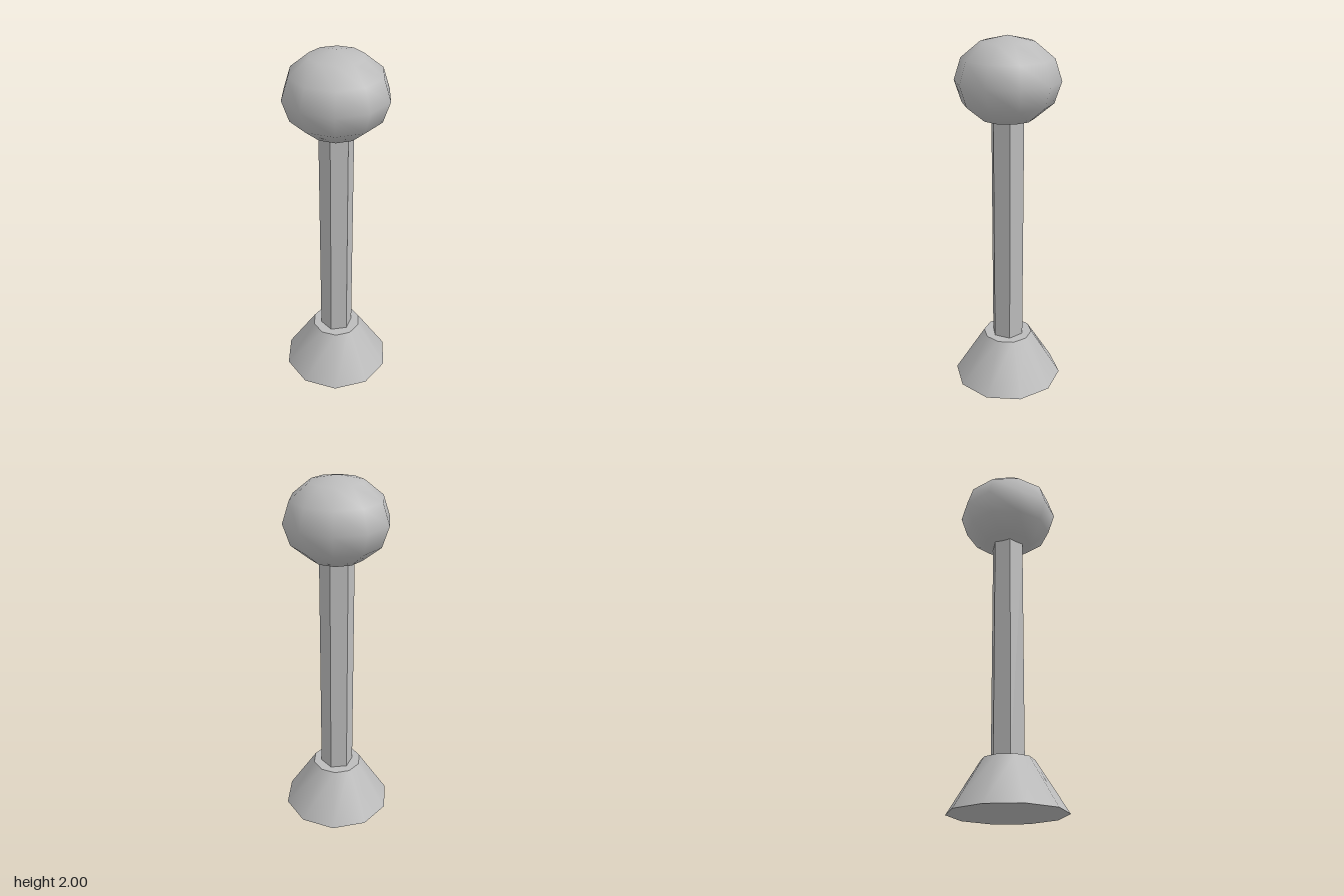
import * as THREE from 'three';

export function createModel() {
  const model = new THREE.Group();
  const grey = new THREE.MeshStandardMaterial({ color: 0xbcbcbc });
  grey.name = 'grey';

  function add(name, geometry, y) {
    const mesh = new THREE.Mesh(geometry, grey);
    mesh.name = name;
    mesh.position.y = y;
    model.add(mesh);
    return mesh;
  }

  // Ten-sided tapered foot with a corner on the x axis
  const footHeight = 0.275;
  add('foot', new THREE.CylinderGeometry(0.141, 0.314, footHeight, 10, 1, false, Math.PI / 2), footHeight / 2);

  // Six-sided post with crisp edges, running from the foot into the knob
  const postTop = 1.57;
  const post = new THREE.CylinderGeometry(0.094, 0.094, postTop - footHeight, 6).toNonIndexed();
  post.computeVertexNormals();
  add('post', post, (postTop + footHeight) / 2);

  // Slightly flattened smooth knob
  const knob = add('knob', new THREE.SphereGeometry(0.282, 10, 6), 1.77);
  knob.scale.y = 0.23 / 0.282;

  return model;
}
